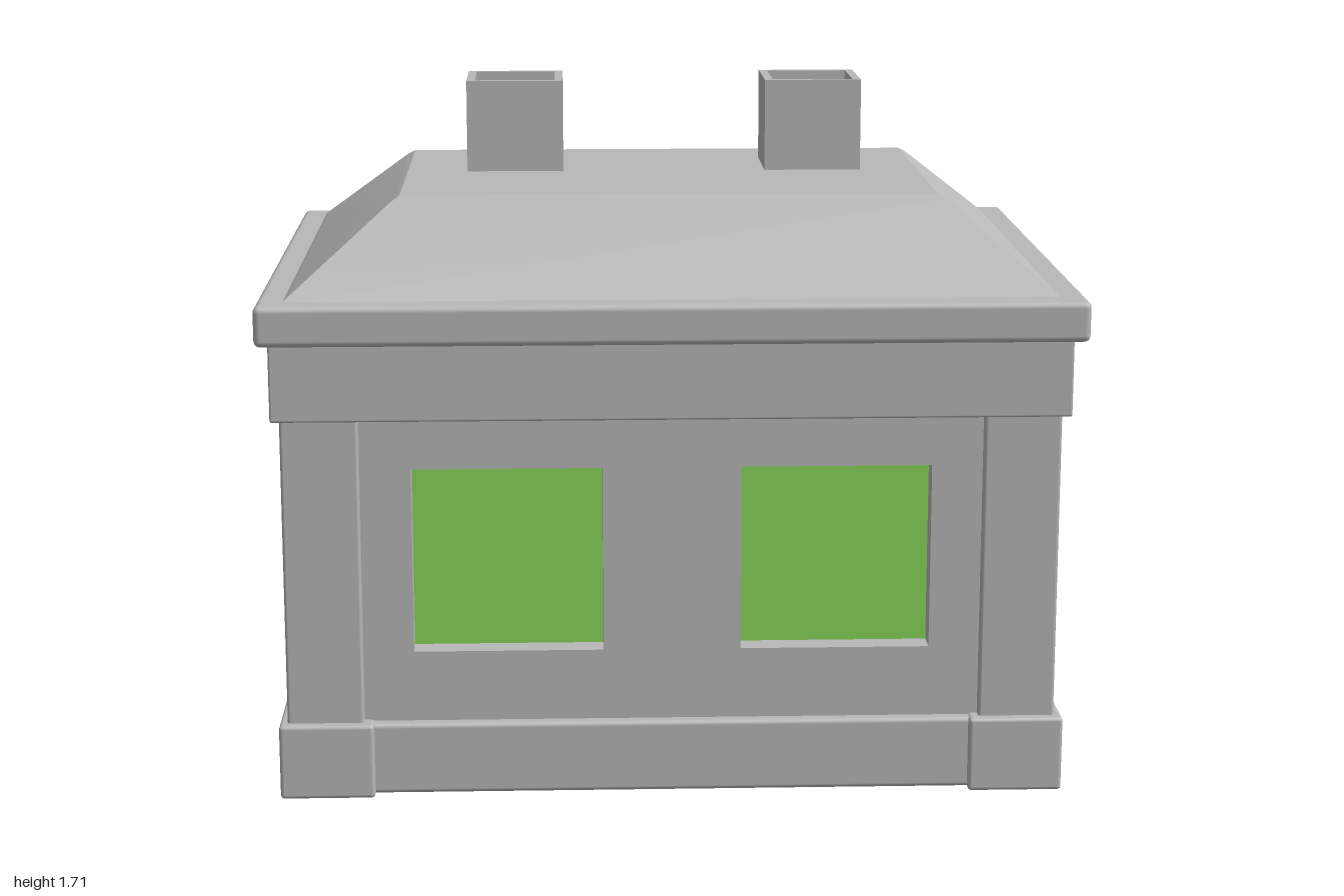
import * as THREE from 'three';
import { toCreasedNormals } from 'three/addons/utils/BufferGeometryUtils.js';
import { RoundedBoxGeometry } from 'three/addons/geometries/RoundedBoxGeometry.js';

export function createModel() {
  const model = new THREE.Group();
  model.name = 'house';
  const stone = new THREE.MeshStandardMaterial({ color: 0xb8b8b8 });
  stone.name = 'grey stone';
  const glass = new THREE.MeshStandardMaterial({ color: 0x8ad65a });
  glass.name = 'green glass';

  const add = (name, geometry, material = stone) => {
    const mesh = new THREE.Mesh(geometry, material);
    mesh.name = name;
    model.add(mesh);
    return mesh;
  };
  // Box given by its limits, optionally with softened edges
  const block = (name, x0, x1, y0, y1, z0, z1, radius = 0, material = stone) => {
    const size = [x1 - x0, y1 - y0, z1 - z0];
    const geometry = radius
      ? new RoundedBoxGeometry(...size, 2, radius)
      : new THREE.BoxGeometry(...size);
    add(name, geometry, material).position.set((x0 + x1) / 2, (y0 + y1) / 2, (z0 + z1) / 2);
  };
  const rectangle = (Type, x0, x1, y0, y1) => new Type([
    new THREE.Vector2(x0, y0), new THREE.Vector2(x1, y0),
    new THREE.Vector2(x1, y1), new THREE.Vector2(x0, y1),
  ]);

  // Body, with a front wall pierced by two windows
  block('body', -0.93, 0.93, 0.02, 1.0, -0.62, 0.55);
  const wall = rectangle(THREE.Shape, -0.93, 0.93, 0.02, 1.0);
  for (const x of [-0.405, 0.405]) {
    wall.holes.push(rectangle(THREE.Path, x - 0.235, x + 0.235, 0.365, 0.83));
    block('windowPane', x - 0.235, x + 0.235, 0.365, 0.83, 0.549, 0.556, 0, glass);
  }
  add('frontWall', new THREE.ExtrudeGeometry(wall, { depth: 0.07, bevelEnabled: false })).position.z = 0.55;

  // Skirting between the corner plinths
  for (const s of [-1, 1]) {
    const zs = [0.61 * s, 0.65 * s].sort((a, b) => a - b);
    const xs = [0.92 * s, 0.955 * s].sort((a, b) => a - b);
    block('longSkirting', -0.8, 0.8, 0.005, 0.187, ...zs, 0.012);
    block('sideSkirting', ...xs, 0.005, 0.187, -0.5, 0.5, 0.012);
  }

  // Corner pillars on plinths
  for (const sx of [-1, 1]) for (const sz of [-1, 1]) {
    const span = (s, a, b) => (s > 0 ? [a, b] : [-b, -a]);
    block('cornerPillar', ...span(sx, 0.765, 0.955), 0.15, 1.0, ...span(sz, 0.45, 0.645), 0.008);
    block('cornerPlinth', ...span(sx, 0.74, 0.975), 0, 0.19, ...span(sz, 0.43, 0.67), 0.01);
  }

  // Band under the eaves and the eaves slab
  block('frieze', -0.975, 0.975, 0.96, 1.18, -0.67, 0.67, 0.006);
  block('eaves', -1, 1, 1.16, 1.26, -0.75, 0.75, 0.016);

  // Flat-topped hipped roof: three rectangular rings of half width, height, half depth
  const rings = [[0.94, 1.255, 0.69], [0.685, 1.463, 0.44], [0.665, 1.475, 0.42]];
  const roof = new THREE.BoxGeometry(2, 2, 2, 1, 2, 1);
  const p = roof.attributes.position;
  for (let i = 0; i < p.count; i++) {
    const [w, y, d] = rings[Math.round(p.getY(i)) + 1];
    p.setXYZ(i, p.getX(i) * w, y, p.getZ(i) * d);
  }
  add('roof', toCreasedNormals(roof, 0.3));

  // Hollow square chimneys
  const flue = rectangle(THREE.Shape, -0.125, 0.125, -0.123, 0.123);
  flue.holes.push(rectangle(THREE.Path, -0.104, 0.104, -0.104, 0.104));
  for (const x of [-0.385, 0.39]) {
    const chimney = add('chimney', new THREE.ExtrudeGeometry(flue, { depth: 0.24, bevelEnabled: false }));
    chimney.rotation.x = -Math.PI / 2;
    chimney.position.set(x, 1.47, -0.122);
  }
  return model;
}
